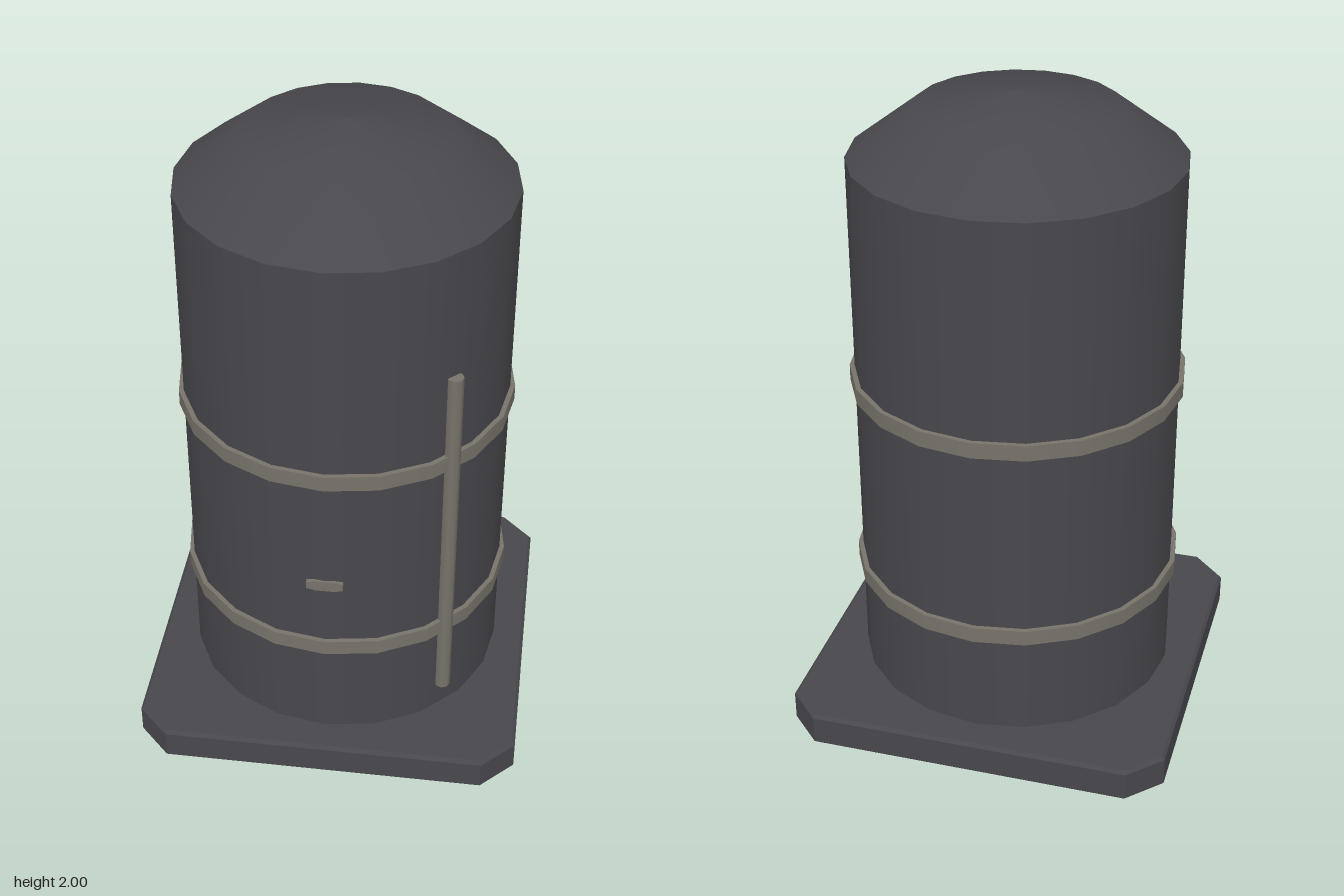
import * as THREE from 'three';

const SIDES = 20;

export function createModel() {
  const model = new THREE.Group();
  const casing = new THREE.MeshStandardMaterial({ name: 'dark casing', color: 0x48474c });
  const metal = new THREE.MeshStandardMaterial({ name: 'dull metal', color: 0x77736a });

  const add = (name, geometry, material, x = 0, y = 0, z = 0) => {
    const mesh = new THREE.Mesh(geometry, material);
    mesh.name = name;
    mesh.position.set(x, y, z);
    model.add(mesh);
    return mesh;
  };
  const lathe = (points) =>
    new THREE.LatheGeometry(points.map(([r, y]) => new THREE.Vector2(r, y)), SIDES);
  const outline = (points) => new THREE.Shape(points.map(([x, y]) => new THREE.Vector2(x, y)));

  // Square plinth with cut corners and a fine edge bevel
  const b = 0.01, w = 0.59, c = 0.496;
  const plinth = new THREE.ExtrudeGeometry(
    outline([[c, -w], [w, -c], [w, c], [c, w], [-c, w], [-w, c], [-w, -c], [-c, -w]]),
    { depth: 0.09, bevelEnabled: true, bevelSize: b, bevelThickness: b, bevelSegments: 1 });
  plinth.rotateX(-Math.PI / 2);
  add('plinth', plinth, casing, 0, b, 0);

  // Tank wall and shallow domed roof
  add('tankBody', lathe([[0.5, 0.1], [0.5, 1.805]]), casing);
  add('domedRoof', lathe([[0.5, 1.805], [0.3, 1.957], [0, 2]]), casing);

  // Hoops: outer face plus flat upper and lower rims
  const h = 0.025, outer = 0.515, inner = 0.49;
  for (const [name, y] of [['lowerHoop', 0.46], ['upperHoop', 1.105]]) {
    const hoop = new THREE.Group();
    hoop.name = name;
    hoop.position.y = y;
    for (const profile of [
      [[inner, -h], [outer, -h]],
      [[outer, -h], [outer, h]],
      [[outer, h], [inner, h]],
    ]) hoop.add(new THREE.Mesh(lathe(profile), metal));
    model.add(hoop);
  }

  // Upright pipe on the front left of the wall
  add('uprightPipe', new THREE.CylinderGeometry(0.025, 0.025, 1.2, 8), metal, 0.354, 0.8, 0.354);

  // Small grip on the front, stepped in at its ends
  const grip = new THREE.ExtrudeGeometry(
    outline([[0.055, -0.012], [0.055, 0.012], [0.028, 0.018], [-0.028, 0.018],
      [-0.055, 0.012], [-0.055, -0.012], [-0.028, -0.018], [0.028, -0.018]]),
    { depth: 0.025, bevelEnabled: false });
  add('frontGrip', grip, metal, 0, 0.705, 0.48);

  return model;
}
